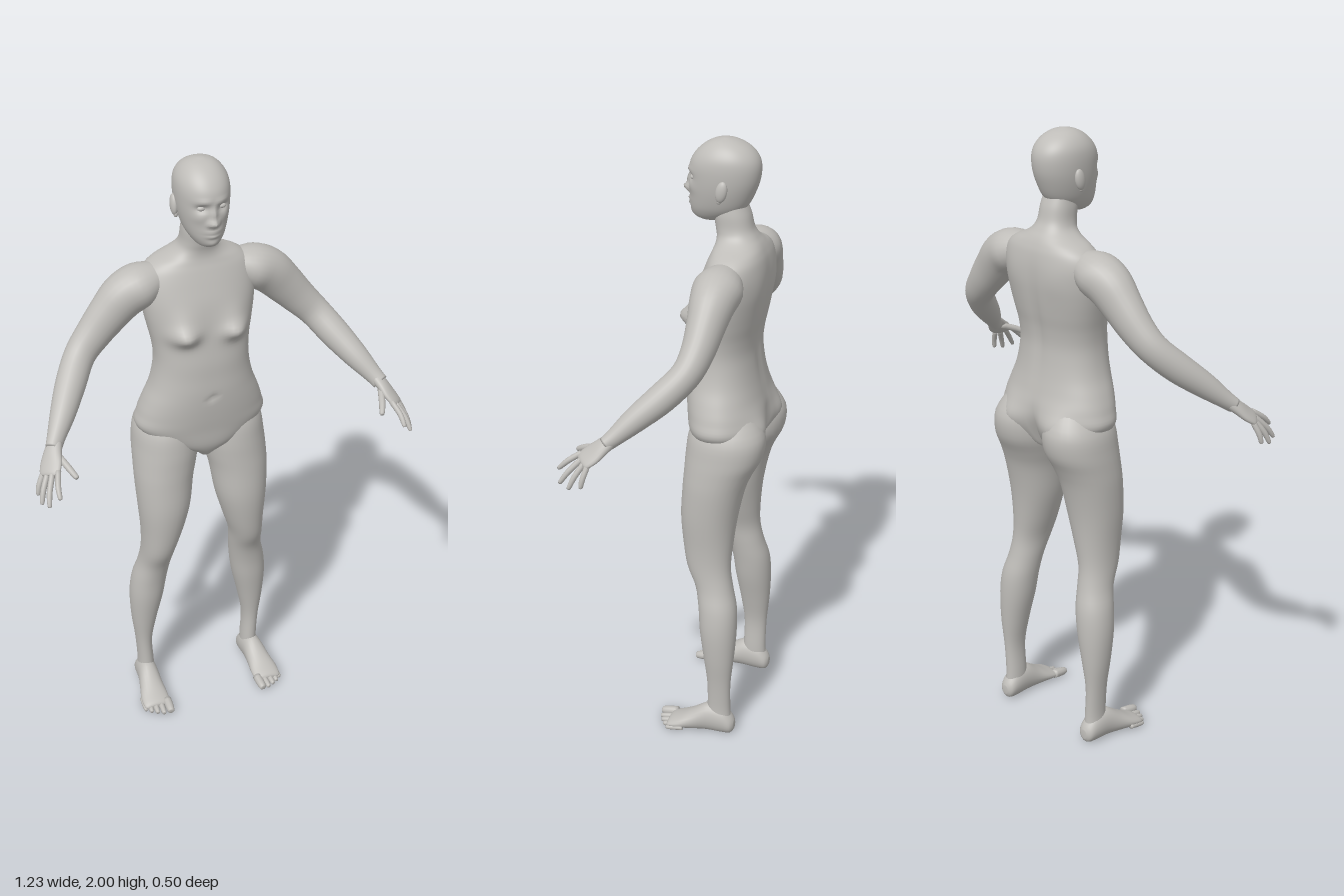
import * as THREE from 'three';

const skin = new THREE.MeshStandardMaterial({ color: 0xbfbdb9 });
skin.name = 'light grey';

const spline = (a, b, c, d, t) =>
  0.5 * (2 * b + (c - a) * t + (2 * a - 5 * b + 4 * c - d) * t * t + (3 * b - a - 3 * c + d) * t * t * t);

// Smoothly fills in rows between the given cross-sections
function refine(rows, steps) {
  const out = [], last = rows.length - 1;
  for (let i = 0; i < last; i++) {
    for (let k = 0; k < steps; k++) {
      out.push(rows[i].map((v, c) =>
        spline(rows[Math.max(i - 1, 0)][c], v, rows[i + 1][c], rows[Math.min(i + 2, last)][c], k / steps)));
    }
  }
  out.push(rows[last]);
  return out;
}

// Skins rings of [x, y, z, half width, half depth]; side is the width direction,
// axis fixes the ring normal, reshape edits each point, mirror builds the other side
function loft(name, rows, { side = [1, 0, 0], axis, segs = 24, steps = 4, power = 2, mirror = 1, reshape } = {}) {
  const rings = refine(rows, steps), pos = [], idx = [];
  const at = i => new THREE.Vector3(...rings[Math.min(Math.max(i, 0), rings.length - 1)].slice(0, 3));
  const bend = v => Math.sign(v) * Math.abs(v) ** (2 / power);
  const put = (p, depth) => {
    if (reshape) reshape(p, depth);
    pos.push(p.x * mirror, p.y, p.z);
  };
  rings.forEach((r, i) => {
    const t = axis ? new THREE.Vector3(...axis) : at(i + 1).sub(at(i - 1)).normalize();
    const u = new THREE.Vector3(...side).addScaledVector(t, -t.dot(new THREE.Vector3(...side))).normalize();
    const v = u.clone().cross(t);
    for (let j = 0; j < segs; j++) {
      const q = j / segs * Math.PI * 2;
      put(at(i).addScaledVector(u, bend(Math.cos(q)) * Math.max(r[3], 0.001))
        .addScaledVector(v, bend(Math.sin(q)) * Math.max(r[4], 0.001)), Math.sin(q));
    }
  });
  const tri = (a, b, c) => mirror > 0 ? idx.push(a, b, c) : idx.push(a, c, b);
  for (let i = 0; i < rings.length - 1; i++) {
    for (let j = 0; j < segs; j++) {
      const a = i * segs + j, b = i * segs + (j + 1) % segs;
      tri(a, a + segs, b);
      tri(b, a + segs, b + segs);
    }
  }
  // End caps
  const n = rings.length * segs, top = n - segs;
  put(at(0), 0);
  put(at(rings.length), 0);
  for (let j = 0; j < segs; j++) {
    const k = (j + 1) % segs;
    tri(n, j, k);
    tri(n + 1, top + k, top + j);
  }
  const g = new THREE.BufferGeometry();
  g.setAttribute('position', new THREE.Float32BufferAttribute(pos, 3));
  g.setIndex(idx);
  g.computeVertexNormals();
  const mesh = new THREE.Mesh(g, skin);
  mesh.name = name;
  return mesh;
}

// Upright section: height, centre x, half width, front z, back z
const upright = rows => rows.map(([y, x, w, f, b]) => [x, y, (f + b) / 2, w, (f - b) / 2]);

// Soft swellings and hollows: [x, y, spread x, spread y, z push, front 1 or back -1], on both sides
const swell = bumps => (p, depth) => {
  let dz = 0;
  for (const [x, y, sx, sy, push, face] of bumps) {
    if (depth * face <= 0) continue;
    dz += push * Math.min(1, Math.abs(depth) * 1.5) *
      Math.exp(-(((Math.abs(p.x) - x) / sx) ** 2) - ((p.y - y) / sy) ** 2);
  }
  p.z += dz;
};

function ellipsoid(name, r, at, tilt = 0) {
  const m = new THREE.Mesh(new THREE.SphereGeometry(1, 20, 14).scale(...r), skin);
  m.position.set(...at);
  m.rotation.x = tilt;
  m.name = name;
  return m;
}

// Finger or toe with a rounded tip
function digit(name, from, mid, to, r, mirror) {
  const tip = to.map((v, i) => v + (v - mid[i]) * 0.08);
  return loft(name, [[...from, r, r], [...mid, r, r], [...to, r * 0.75, r * 0.75], [...tip, r * 0.15, r * 0.15]],
    { segs: 10, steps: 3, mirror, side: [0.6, -0.2, -0.6] });
}

function buildArm(s) {
  const arm = new THREE.Group();
  arm.name = s > 0 ? 'leftArm' : 'rightArm';
  arm.add(loft('armLimb', [
    [0.12, 1.615, -0.115, 0.05, 0.045], [0.18, 1.597, -0.113, 0.076, 0.068],
    [0.235, 1.57, -0.112, 0.069, 0.072], [0.285, 1.52, -0.11, 0.058, 0.066],
    [0.34, 1.46, -0.104, 0.05, 0.057], [0.392, 1.405, -0.085, 0.045, 0.05],
    [0.44, 1.345, -0.03, 0.045, 0.048], [0.487, 1.287, 0.035, 0.038, 0.04],
    [0.525, 1.24, 0.085, 0.027, 0.029], [0.542, 1.218, 0.11, 0.022, 0.026],
  ], { side: [0, 0, 1], mirror: s }));
  arm.add(loft('palm', [
    [0.532, 1.232, 0.095, 0.024, 0.02], [0.547, 1.212, 0.118, 0.03, 0.018],
    [0.56, 1.19, 0.143, 0.037, 0.015], [0.572, 1.172, 0.166, 0.035, 0.011], [0.576, 1.166, 0.173, 0.026, 0.006],
  ], { side: [0.65, -0.2, -0.73], mirror: s, segs: 20 }));
  const fingers = [
    ['indexFinger', [0.55, 1.183, 0.182], [0.563, 1.157, 0.22], [0.566, 1.13, 0.248]],
    ['middleFinger', [0.565, 1.175, 0.172], [0.587, 1.135, 0.209], [0.596, 1.1, 0.233]],
    ['ringFinger', [0.577, 1.17, 0.16], [0.6, 1.128, 0.185], [0.61, 1.093, 0.2]],
    ['littleFinger', [0.586, 1.168, 0.147], [0.605, 1.13, 0.157], [0.611, 1.102, 0.162]],
    ['thumb', [0.535, 1.205, 0.13], [0.518, 1.187, 0.178], [0.503, 1.168, 0.212]],
  ];
  fingers.forEach(([name, a, b, c], i) => arm.add(digit(name, a, b, c, i === 4 ? 0.0105 : 0.0088, s)));
  return arm;
}

function buildLeg(s) {
  const leg = new THREE.Group();
  leg.name = s > 0 ? 'leftLeg' : 'rightLeg';
  leg.add(loft('legLimb', upright([
    [0.045, 0.197, 0.03, -0.085, -0.17], [0.1, 0.195, 0.027, -0.088, -0.166], [0.2, 0.2, 0.028, -0.088, -0.167],
    [0.3, 0.197, 0.043, -0.075, -0.176], [0.4, 0.188, 0.057, -0.06, -0.181], [0.48, 0.178, 0.059, -0.052, -0.177],
    [0.55, 0.165, 0.054, -0.037, -0.16], [0.62, 0.157, 0.055, -0.006, -0.149], [0.7, 0.145, 0.068, 0.01, -0.152],
    [0.8, 0.135, 0.086, 0.02, -0.163], [0.9, 0.13, 0.096, 0.016, -0.184], [0.96, 0.122, 0.103, 0.013, -0.207],
    [1.02, 0.114, 0.107, 0.01, -0.236], [1.09, 0.11, 0.1, 0, -0.24], [1.16, 0.1, 0.07, -0.03, -0.2],
  ]), { axis: [0, 1, 0], segs: 32, mirror: s, power: 2.1 }));
  // Foot with a flat sole
  leg.add(loft('foot', [
    [0.195, 0.035, -0.181, 0.012, 0.015], [0.195, 0.037, -0.17, 0.028, 0.033], [0.196, 0.05, -0.14, 0.034, 0.05],
    [0.199, 0.053, -0.09, 0.036, 0.052], [0.204, 0.037, -0.04, 0.042, 0.037],
    [0.207, 0.026, 0, 0.048, 0.024], [0.208, 0.018, 0.035, 0.046, 0.015], [0.208, 0.015, 0.044, 0.036, 0.008],
  ], { axis: [0, 0, 1], mirror: s, reshape: p => { p.y = Math.max(p.y, 0.004); } }));
  [[0.172, 0.082, 0.0145], [0.196, 0.078, 0.0095], [0.216, 0.068, 0.0095], [0.234, 0.056, 0.009], [0.25, 0.041, 0.0085]]
    .forEach(([x, z, r], i) => leg.add(digit(i ? 'toe' : 'bigToe',
      [x - 0.002, r + 0.008, z - 0.055], [x, r + 0.003, z - 0.02], [x + 0.001, r, z], r, s)));
  return leg;
}

function buildHead() {
  const head = new THREE.Group();
  head.name = 'head';
  head.add(loft('skullAndFace', upright([
    [1.745, 0, 0.02, 0.005, -0.05], [1.755, 0, 0.036, 0.022, -0.08], [1.775, 0, 0.052, 0.033, -0.12],
    [1.8, 0, 0.064, 0.036, -0.145], [1.84, 0, 0.075, 0.037, -0.165], [1.88, 0, 0.081, 0.038, -0.178],
    [1.92, 0, 0.082, 0.036, -0.181], [1.95, 0, 0.076, 0.021, -0.171], [1.975, 0, 0.06, -0.004, -0.147],
    [1.992, 0, 0.037, -0.034, -0.113], [2, 0, 0.008, -0.066, -0.08],
  ]), {
    axis: [0, 1, 0], segs: 80, steps: 6, power: 2.1, reshape: swell([
      [0, 1.836, 0.012, 0.012, 0.023, 1], [0, 1.862, 0.009, 0.02, 0.012, 1], [0.014, 1.833, 0.007, 0.008, 0.008, 1],
      [0.032, 1.88, 0.017, 0.011, -0.013, 1], [0.028, 1.902, 0.025, 0.009, 0.005, 1],
      [0, 1.807, 0.022, 0.006, 0.008, 1], [0, 1.792, 0.019, 0.006, 0.008, 1], [0, 1.765, 0.02, 0.012, 0.006, 1],
      [0.045, 1.85, 0.018, 0.016, 0.004, 1],
    ]),
  }));
  for (const s of [1, -1]) {
    head.add(ellipsoid('eye', [0.013, 0.008, 0.009], [s * 0.032, 1.88, 0.018]));
    head.add(ellipsoid('ear', [0.012, 0.033, 0.018], [s * 0.081, 1.857, -0.085], -0.2));
    head.add(ellipsoid('earLobe', [0.007, 0.011, 0.008], [s * 0.078, 1.829, -0.077]));
  }
  return head;
}

export function createModel() {
  const model = new THREE.Group();
  model.name = 'standingFigure';
  // Trunk and neck in one skin
  model.add(loft('torso', upright([
    [0.98, 0, 0.02, -0.03, -0.13], [1, 0, 0.045, -0.01, -0.17], [1.04, 0, 0.14, 0.01, -0.195],
    [1.1, 0, 0.212, 0.018, -0.215], [1.15, 0, 0.207, 0.025, -0.215], [1.2, 0, 0.19, 0.03, -0.205],
    [1.25, 0, 0.17, 0.032, -0.195], [1.3, 0, 0.158, 0.03, -0.188], [1.35, 0, 0.153, 0.028, -0.185],
    [1.4, 0, 0.157, 0.022, -0.19], [1.45, 0, 0.167, 0.015, -0.2], [1.5, 0, 0.177, 0.008, -0.208],
    [1.55, 0, 0.184, -0.003, -0.213], [1.6, 0, 0.184, -0.02, -0.213], [1.64, 0, 0.17, -0.035, -0.208],
    [1.665, 0, 0.14, -0.045, -0.2], [1.685, 0, 0.095, -0.05, -0.19], [1.705, 0, 0.067, -0.05, -0.176],
    [1.73, 0, 0.056, -0.045, -0.162], [1.77, 0, 0.053, -0.04, -0.152], [1.8, 0, 0.048, -0.05, -0.14],
  ]), {
    axis: [0, 1, 0], segs: 72, steps: 5, power: 2.25, reshape: swell([
      [0.085, 1.452, 0.042, 0.028, 0.034, 1], [0.085, 1.485, 0.045, 0.045, 0.013, 1],
      [0.1, 1.08, 0.06, 0.065, -0.032, -1], [0, 1.06, 0.014, 0.07, 0.02, -1],
      [0, 1.42, 0.02, 0.16, 0.008, -1], [0.09, 1.57, 0.05, 0.06, -0.004, -1], [0, 1.23, 0.008, 0.01, -0.008, 1],
    ]),
  }));
  model.add(buildHead());
  for (const s of [1, -1]) model.add(buildArm(s), buildLeg(s));
  return model;
}
